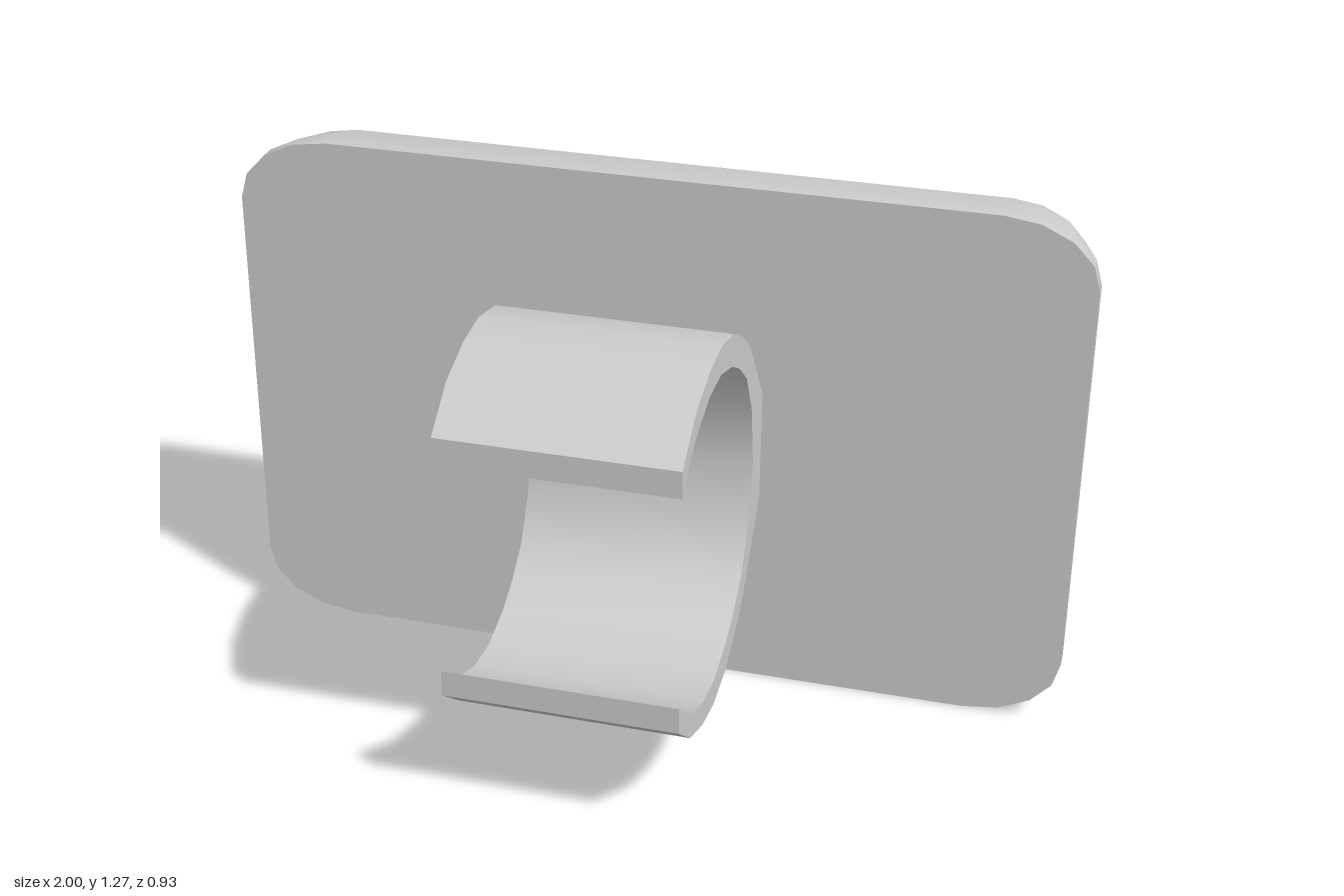
import * as THREE from 'three';
import { toCreasedNormals } from 'three/addons/utils/BufferGeometryUtils.js';

const CY = 0.635; // height of the panel centre
const material = new THREE.MeshStandardMaterial({ color: 0xcccccc });

// Rounded rectangle ring, counter-clockwise seen from the front
function ring([hw, hh, rx, ry, z]) {
  const pts = [];
  const corners = [[1, 1], [-1, 1], [-1, -1], [1, -1]];
  corners.forEach(([sx, sy], q) => {
    for (let k = 0; k <= 4; k++) {
      const a = (q + k / 4) * Math.PI / 2;
      pts.push([sx * (hw - rx) + rx * Math.cos(a), CY + sy * (hh - ry) + ry * Math.sin(a), z]);
    }
  });
  return pts;
}

// Skin a list of rings from front to back; zero-size rings close the ends
function loft(sections) {
  const rings = sections.map(ring);
  const pos = [];
  for (let i = 0; i < rings.length - 1; i++) {
    const n = rings[i].length;
    for (let j = 0; j < n; j++) {
      const k = (j + 1) % n;
      const a = rings[i][j], b = rings[i][k], c = rings[i + 1][k], d = rings[i + 1][j];
      if (sections[i + 1][0] > 0) pos.push(...b, ...d, ...c);
      if (sections[i][0] > 0) pos.push(...a, ...d, ...b);
    }
  }
  const geo = new THREE.BufferGeometry();
  geo.setAttribute('position', new THREE.Float32BufferAttribute(pos, 3));
  return toCreasedNormals(geo, 0.5);
}

// Panel: flat front, tapered sides, rear lip, frame and recessed screen
function panelGeometry() {
  // half width, half height, corner radii x and y, z
  return loft([
    [0, 0, 0, 0, -0.27],
    [1.0, 0.634, 0.22, 0.155, -0.27],
    [1.0, 0.634, 0.22, 0.155, -0.31],
    [0.957, 0.597, 0.18, 0.135, -0.465],
    [0.94, 0.58, 0.165, 0.12, -0.465],
    [0.925, 0.565, 0.15, 0.105, -0.448],
    [0.815, 0.46, 0.055, 0.05, -0.448],
    [0.78, 0.425, 0.035, 0.03, -0.42],
    [0, 0, 0, 0, -0.42],
  ]);
}

// Open C-shaped clip, its upper half profile mirrored about the panel centre
function clipGeometry() {
  const outer = [[-0.27, 0.77], [-0.13, 0.953], [-0.05, 1.015], [0.04, 1.063],
    [0.15, 1.084], [0.25, 1.073], [0.365, 1.033], [0.467, 0.953]];
  const inner = [[0.467, 0.89], [0.365, 0.972], [0.25, 1.013], [0.15, 1.018], [0.05, 0.99],
    [-0.025, 0.95], [-0.1, 0.89], [-0.16, 0.785], [-0.19, CY]];
  const upper = [...outer, ...inner];
  const lower = upper.slice(0, -1).reverse().map(([z, y]) => [z, 2 * CY - y]);
  const shape = new THREE.Shape([...upper, ...lower].map(([z, y]) => new THREE.Vector2(z, y)));
  const geo = new THREE.ExtrudeGeometry(shape, { depth: 0.535, bevelEnabled: false });
  geo.rotateY(-Math.PI / 2).translate(0.265, 0, 0);
  return toCreasedNormals(geo, 0.5);
}

export function createModel() {
  const model = new THREE.Group();
  model.name = 'clipOnDisplay';
  const add = (name, geometry) => {
    const mesh = new THREE.Mesh(geometry, material);
    mesh.name = name;
    model.add(mesh);
  };
  add('displayPanel', panelGeometry());
  add('mountingClip', clipGeometry());
  return model;
}
